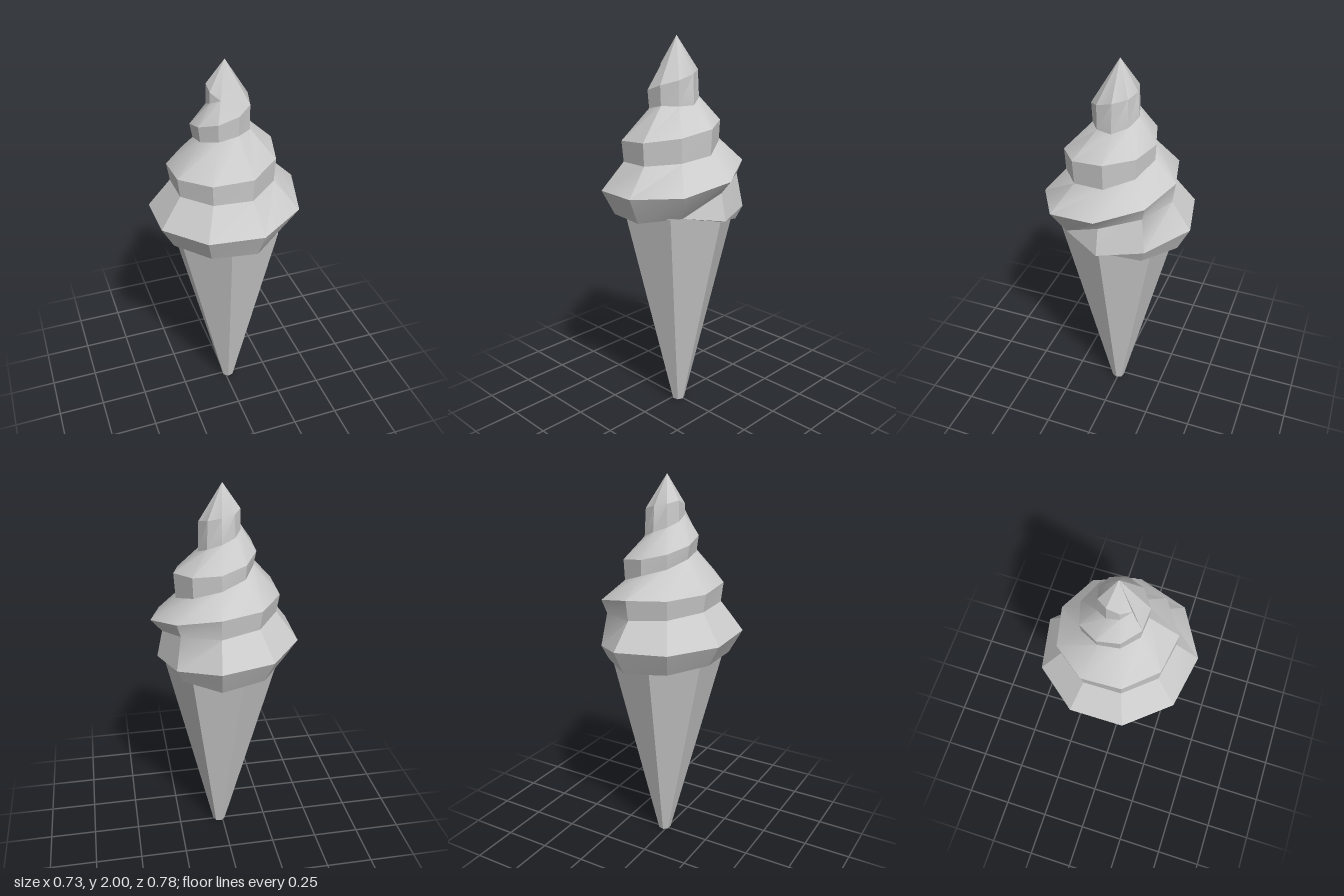
import * as THREE from 'three';
import { toCreasedNormals } from 'three/addons/utils/BufferGeometryUtils.js';

const STEPS = 9; // sides per turn of the swirl
const TIP = [0, 2, 0];

// Spiral keys: step, groove radius, groove height, bulge radius, bulge height
const KEYS = [
  [-1, 0.31, 1.155, 0.31, 1.155],
  [0, 0.30, 1.11, 0.34, 1.12],
  [1, 0.31, 1.07, 0.345, 1.14],
  [2, 0.335, 1.06, 0.40, 1.19],
  [4, 0.32, 1.10, 0.39, 1.215],
  [7, 0.335, 1.12, 0.397, 1.255],
  [8, 0.31, 1.155, 0.394, 1.28],
  [9, 0.31, 1.26, 0.366, 1.325],
  [10, 0.31, 1.315, 0.337, 1.385],
  [11, 0.295, 1.325, 0.31, 1.43],
  [13, 0.275, 1.365, 0.29, 1.457],
  [16, 0.278, 1.395, 0.284, 1.51],
  [18, 0.235, 1.435, 0.243, 1.567],
  [20, 0.195, 1.53, 0.197, 1.61],
  [22, 0.155, 1.605, 0.168, 1.675],
  [25, 0.135, 1.67, 0.14, 1.77],
  [27, 0.12, 1.67, 0.115, 1.82],
  [29, 0.105, 1.73, 0.096, 1.855],
  [31, 0.09, 1.78, 0.088, 1.88],
  [32, 0.088, 1.805, 0.088, 1.86],
  [33, 0.085, 1.83, 0.085, 1.83],
];

// Linear blend between the keys; column 1 is the groove, column 3 the bulge
function spiralPoint(k, column) {
  let i = 0;
  while (i < KEYS.length - 2 && KEYS[i + 1][0] < k) i++;
  const a = KEYS[i], b = KEYS[i + 1];
  const t = (k - a[0]) / (b[0] - a[0]);
  return polar(k, a[column] + (b[column] - a[column]) * t,
    a[column + 1] + (b[column + 1] - a[column + 1]) * t);
}

function polar(k, r, y) {
  const angle = -k * 2 * Math.PI / STEPS;
  return [r * Math.cos(angle), y, r * Math.sin(angle)];
}

function swirlGeometry() {
  const first = KEYS[0][0], last = KEYS[KEYS.length - 1][0];
  const positions = [];
  const triangle = (a, b, c) => {
    const u = new THREE.Vector3(...b).sub(new THREE.Vector3(...a));
    const v = new THREE.Vector3(...c).sub(new THREE.Vector3(...a));
    if (u.cross(v).length() > 1e-7) positions.push(...a, ...b, ...c);
  };
  // Each column runs from the groove, over the bulge, to the next groove or the tip
  const column = (k) => [
    polar(k, 0.2, 1.15),
    spiralPoint(k, 1),
    spiralPoint(k, 3),
    k + STEPS <= last ? spiralPoint(k + STEPS, 1) : TIP,
  ];
  for (let k = first; k < last; k++) {
    const left = column(k), right = column(k + 1);
    // The underside only exists on the lowest turn
    for (let row = k < first + STEPS ? 0 : 1; row < 3; row++) {
      triangle(left[row], right[row], right[row + 1]);
      triangle(left[row], right[row + 1], left[row + 1]);
    }
  }
  const geometry = new THREE.BufferGeometry();
  geometry.setAttribute('position', new THREE.Float32BufferAttribute(positions, 3));
  return toCreasedNormals(geometry, Math.PI / 6);
}

// Seven-sided wafer, its foot slightly off centre
function waferGeometry() {
  const height = 1.15;
  const geometry = new THREE.CylinderGeometry(0.312, 0.034, height, 7, 1, false, Math.PI / 2);
  geometry.translate(0, height / 2, 0);
  const p = geometry.attributes.position;
  for (let i = 0; i < p.count; i++) {
    const down = 1 - p.getY(i) / height;
    p.setX(i, p.getX(i) + 0.004 + 0.015 * down);
    p.setZ(i, p.getZ(i) + 0.005 * down);
  }
  return geometry;
}

export function createModel() {
  const group = new THREE.Group();
  group.name = 'iceCreamCone';

  const wafer = new THREE.Mesh(waferGeometry(),
    new THREE.MeshStandardMaterial({ color: 0xcccccc, flatShading: true }));
  wafer.name = 'waferCone';

  const swirl = new THREE.Mesh(swirlGeometry(),
    new THREE.MeshStandardMaterial({ color: 0xcccccc, side: THREE.DoubleSide }));
  swirl.name = 'softServeSwirl';

  group.add(wafer, swirl);
  return group;
}
